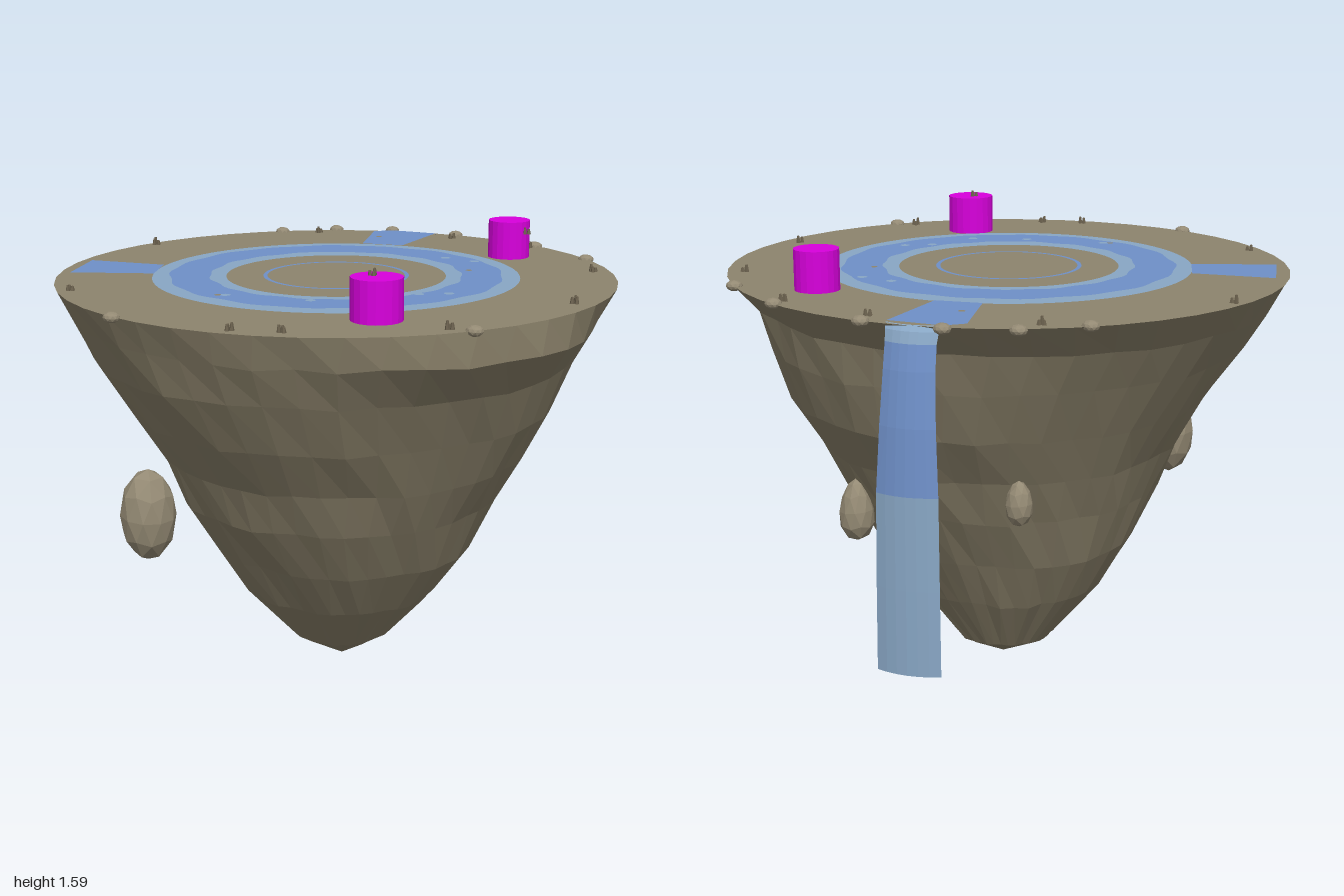
import * as THREE from 'three';

const TOP = 1.43;
const mat = (name, color, extra = {}) => {
  const m = new THREE.MeshStandardMaterial({ color, flatShading: true, ...extra });
  m.name = name;
  return m;
};

// Small seeded generator for rock irregularity
function seeded(seed) {
  return () => {
    seed = (seed * 16807) % 2147483647;
    return seed / 2147483647;
  };
}

// Grid of points (row, column) turned into a surface
function gridSurface(rows, cols, point) {
  const pos = [], idx = [];
  for (let i = 0; i < rows; i++) for (let j = 0; j < cols; j++) pos.push(...point(i, j));
  for (let i = 0; i < rows - 1; i++) for (let j = 0; j < cols - 1; j++) {
    const a = i * cols + j, c = a + cols;
    idx.push(a, a + 1, c, a + 1, c + 1, c);
  }
  const g = new THREE.BufferGeometry();
  g.setAttribute('position', new THREE.Float32BufferAttribute(pos, 3));
  g.setIndex(idx);
  g.computeVertexNormals();
  return g;
}

export function createModel() {
  const root = new THREE.Group();
  root.name = 'floatingIsland';
  const rock = mat('rock', 0x898069);
  const ground = mat('ground', 0x8d846d);
  const pebble = mat('pebble', 0x948a74);
  const twig = mat('twig', 0x6c624f);
  const water = mat('water', 0x6f90c8, { side: THREE.DoubleSide });
  const foam = mat('foam', 0x88a6c4, { side: THREE.DoubleSide });
  const magenta = mat('magenta', 0xd800dc);
  const add = (name, geo, material, x = 0, y = 0, z = 0) => {
    const m = new THREE.Mesh(geo, material);
    m.name = name;
    m.position.set(x, y, z);
    root.add(m);
    return m;
  };
  const rand = seeded(77);

  // Rock cone: [height, x radius, z radius, x offset, z offset] rings, slightly roughened
  const rings = [[1.43, .967, .967, 0, 0], [1.32, .888, .888, 0, .035], [1.18, .815, .845, .02, .026],
    [1.0, .72, .757, .035, 0], [.83, .632, .642, .033, -.003], [.67, .552, .572, .025, 0],
    [.48, .47, .446, .015, -.01], [.3, .355, .334, 0, -.018], [.1, .177, .177, -.02, -.047],
    [0, 0, 0, -.01, -.045]];
  const N = 44;
  const rough = rings.map(() => Array.from({ length: N }, () => [rand() - .5, rand() - .5]));
  add('rockBody', gridSurface(rings.length, N + 1, (i, j) => {
    const [y, rx, rz, dx, dz] = rings[i], a = j / N * Math.PI * 2, [u, v] = rough[i][j % N];
    const inner = i > 0 && i < rings.length - 1;
    const bulge = i === 1 ? .075 * Math.max(0, Math.cos(a - .15)) ** 4 : 0;
    const lump = inner ? u * .016 : 0;
    const k = bulge + lump * Math.min(1, rx * 2);
    return [dx + (rx + k) * Math.cos(a), y + (inner ? v * .014 : 0), dz + (rz + k) * Math.sin(a)];
  }), rock);

  // Flat top
  add('groundTop', new THREE.CircleGeometry(.967, N).rotateX(-Math.PI / 2), ground, 0, TOP, 0);

  // Flat rings of water, optionally with wavy edges
  const ring = (name, r0, r1, wave, material, y) => {
    const loop = (r, phase) => Array.from({ length: 96 }, (_, k) => {
      const a = k / 96 * Math.PI * 2;
      const q = r + wave * (Math.sin(a * 17 + phase) + .5 * Math.sin(a * 9 + phase * 2));
      return new THREE.Vector2(q * Math.cos(a), q * Math.sin(a));
    });
    const s = new THREE.Shape(loop(r1, 0));
    s.holes.push(new THREE.Path(loop(r0, 2)));
    add(name, new THREE.ShapeGeometry(s).rotateX(-Math.PI / 2), material, 0, y, 0);
  };
  ring('shallowRing', .38, .635, 0, foam, TOP + .003);
  ring('deepRing', .435, .575, .005, water, TOP + .006);
  ring('thinWaterRing', .238, .252, 0, water, TOP + .003);

  // Channels running from the ring toward the rim
  const channel = (name, pts) => {
    const s = new THREE.Shape(pts.map(([x, z]) => new THREE.Vector2(x, -z)));
    add(name, new THREE.ShapeGeometry(s).rotateX(-Math.PI / 2), water, 0, TOP + .005, 0);
  };
  channel('backChannel', [[-.46, -.80], [-.42, -.862], [-.24, -.91], [-.175, -.61], [-.32, -.55]]);
  channel('sideChannel', [[-.855, .35], [-.59, .25], [-.50, .39], [-.74, .56]]);

  // Waterfall sheet: [distance from centre, height, half width]
  const fall = [[.962, 1.432, .09], [.98, 1.415, .085], [.993, 1.38, .082], [1.01, 1.3, .083],
    [1.032, 1.13, .09], [1.045, .92, .1], [1.05, .62, .103], [1.052, .34, .105]];
  const sheet = (name, from, to, material) => add(name, gridSurface(to - from + 1, 7, (i, j) => {
    const [r, y, w] = fall[from + i], t = j / 3 - 1;
    const d = r - .02 * t * t, s = -t * w;
    return [-.345 * d + .939 * s, y, -.939 * d - .345 * s];
  }), material);
  sheet('waterfallLip', 0, 2, foam);
  sheet('waterfallUpper', 2, 5, water);
  sheet('waterfallLower', 5, 7, foam);

  // Faceted stones, tapered toward the top
  const stone = (name, x, y, z, sx, sy, sz, taper = 0) => {
    const g = new THREE.IcosahedronGeometry(1, 1).rotateZ(.5), p = g.attributes.position;
    for (let i = 0; i < p.count; i++) {
      const py = p.getY(i), k = 1 - taper * py;
      p.setXYZ(i, p.getX(i) * k, py, p.getZ(i) * k);
    }
    g.scale(sx, sy, sz);
    g.computeVertexNormals();
    return add(name, g, pebble, x, y, z);
  };
  stone('floatingBoulder', -.22, .70, .725, .093, .16, .097);
  stone('backBoulder', .2, .655, -.59, .06, .11, .06, .25);
  stone('sideBoulder', -.43, .785, -.505, .045, .077, .045, .15);

  // Rim pebbles
  [[-.43, -.88], [-.17, -.95], [.21, -.935], [.505, -.82], [-.62, -.76], [-.755, -.585], [.87, .41], [-.105, .965]]
    .forEach(([x, z]) => stone('rimPebble', x, TOP, z, .029, .018, .027));

  // Twig tufts: three tiny stubs each
  const tuft = (x, y, z) => {
    for (let k = 0; k < 3; k++) {
      const a = k * 2.1 + x * 5, h = .014 + rand() * .014;
      add('twigTuft', new THREE.CylinderGeometry(.004, .008, h, 5), twig,
        x + .009 * Math.cos(a), y + h / 2, z + .009 * Math.sin(a));
    }
  };
  [[-.14, -.88], [.21, -.89], [.65, -.63], [-.63, -.66], [-.93, -.05], [.89, -.12], [.80, .44], [.44, .79],
    [.30, .87], [-.52, .76]].forEach(([x, z]) => tuft(x, TOP, z));

  // Flecks lying on the water and ground
  const fleck = (x, z, r, material) => add('fleck',
    new THREE.CircleGeometry(r, 8).rotateX(-Math.PI / 2), material, x, TOP + .009, z);
  [[.12, -.48], [.24, -.49], [.44, .11], [.51, .04], [.23, .41], [.4, .3], [-.04, .52]]
    .forEach(([x, z]) => fleck(x, z, .018, foam));
  [[-.06, .535], [.325, -.335], [-.35, -.69]].forEach(([x, z]) => fleck(x, z, .012, ground));

  // Magenta drums
  const drum = (x, z, r) => add('drum', new THREE.CylinderGeometry(r, r, .135, 20), magenta, x, TOP + .0675, z);
  drum(.25, -.695, .075);
  drum(.55, .475, .083);
  tuft(.53, 1.56, .47);
  tuft(.325, 1.52, -.695);

  return root;
}
